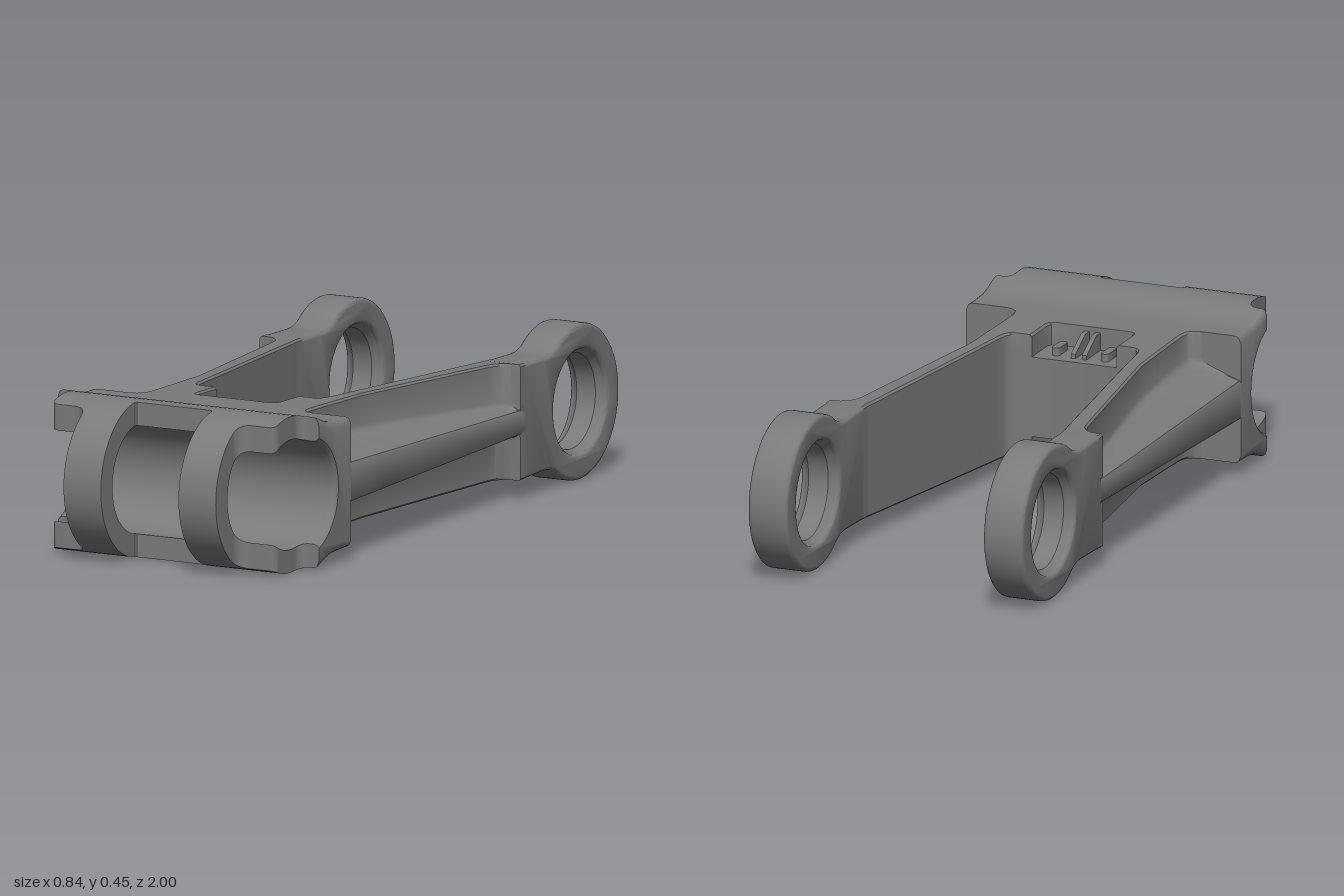
import * as THREE from 'three';
import { toCreasedNormals } from 'three/addons/utils/BufferGeometryUtils.js';

const MID = 0.223, R = 0.223, BORE = 0.157, PIVOT = 0.775, W = 0.42;
const material = new THREE.MeshStandardMaterial({ color: 0x7a7a7a });
const lerp = THREE.MathUtils.lerp;
const rad = THREE.MathUtils.degToRad;
// half height of the body, tapering slightly to the rear
const half = z => lerp(0.187, 0.166, (0.6 - z) / 1.04);

function addMesh(parent, name, geometry) {
  const mesh = new THREE.Mesh(geometry, material);
  mesh.name = name;
  parent.add(mesh);
  return mesh;
}

// skin closed loops of [x, y, z] points; optional extra triangles close the ends
function loft(loops, caps = []) {
  const n = loops[0].length, index = [];
  for (let i = 0; i < loops.length - 1; i++) {
    for (let j = 0; j < n; j++) {
      const k = (j + 1) % n, a = i * n, b = a + n;
      index.push(a + j, a + k, b + k, a + j, b + k, b + j);
    }
  }
  const geo = new THREE.BufferGeometry();
  geo.setAttribute('position', new THREE.Float32BufferAttribute(loops.flat(2), 3));
  geo.setIndex(index.concat(caps));
  return toCreasedNormals(geo, 0.6);
}

// C-shaped side section of the front sleeve, cut off at z = cut; edges round off at the ends
function sleeveLoop(x, cut) {
  const d = Math.max(0, Math.abs(x) - W + 0.02);
  const inset = 0.02 - Math.sqrt(Math.max(0, 0.0004 - d * d));
  const ro = R - inset, ri = BORE + inset / 2;
  const limit = r => Math.acos(THREE.MathUtils.clamp((cut - PIVOT) / r, -1, 1));
  const a = limit(ro), b = limit(ri), upper = [[0.535, half(0.535) - inset]];
  const arc = (r, t) => [PIVOT + r * Math.cos(t), r * Math.sin(t)];
  const join = arc(ro, rad(115));
  const fillet = new THREE.QuadraticBezierCurve(
    new THREE.Vector2(0.59, half(0.59) - inset),
    new THREE.Vector2(0.649, half(0.649) - inset), new THREE.Vector2(...join));
  fillet.getPoints(5).slice(0, -1).forEach(p => upper.push([p.x, p.y]));
  for (let t = 115; t >= 0; t -= 5) upper.push(arc(ro, Math.max(a, rad(t))));
  for (let t = 0; t <= 180; t += 5) upper.push(arc(ri, Math.max(b, rad(t))));
  const lower = upper.slice(0, -1).reverse().map(([z, y]) => [z, -y]);
  return upper.concat(lower).map(([z, y]) => [x, MID + y, z]);
}

function frontSleeve() {
  // stepped, round-cornered front edge in plan: (x, z); beyond z = 1 the ring stays whole
  const p = new THREE.Path();
  p.moveTo(0, 0.8).lineTo(0.115, 0.8);
  p.quadraticCurveTo(0.125, 0.8, 0.125, 0.81).lineTo(0.125, 1.02);
  p.lineTo(0.245, 1.02).lineTo(0.245, 0.9);
  p.quadraticCurveTo(0.247, 0.863, 0.285, 0.863).lineTo(0.34, 0.863);
  p.quadraticCurveTo(0.36, 0.863, 0.36, 0.843).lineTo(0.36, 0.75);
  p.quadraticCurveTo(0.362, 0.722, 0.39, 0.72).lineTo(W, 0.72);
  const pts = p.getSpacedPoints(150).map(v => [v.x, v.y]);
  const path = pts.slice(1).reverse().map(([x, z]) => [-x, z]).concat(pts);
  const loops = path.map(([x, cut]) => sleeveLoop(x, cut));
  // flat end caps
  const outline = loops[0].map(([, y, z]) => new THREE.Vector2(z, y));
  const last = (loops.length - 1) * outline.length, caps = [];
  for (const [a, b, c] of THREE.ShapeUtils.triangulateShape(outline, [])) {
    caps.push(a, b, c, last + a, last + c, last + b);
  }
  return loft(loops, caps);
}

// one half of the bridge with its arm: [z, inner x, web outer x, recess half width]
const ARM = [
  [0.535, 0, 0.3, 0], [0.528, 0, 0.28, 0], [0.515, 0, 0.266, 0],
  [0.49, 0, 0.26, 0], [0.46, 0, 0.26, 0], [0.46, 0, 0.26, 0.11], [0.454, 0, 0.26, 0.124],
  [0.44, 0, 0.26, 0.13], [0.33, 0, 0.262, 0.13], [0.33, 0.175, 0.262, 0],
  [0.325, 0.19, 0.262, 0], [0.312, 0.2, 0.263, 0], [0.29, 0.206, 0.263, 0],
  [0.2, 0.217, 0.265, 0], [0.15, 0.223, 0.272, 0], [-0.37, 0.291, 0.348, 0],
  [-0.4, 0.295, 0.356, 0], [-0.42, 0.298, 0.372, 0], [-0.43, 0.3, 0.39, 0],
  [-0.432, 0.3, W, 0], [-0.46, 0.3, W, 0],
];
const RECESS = 0.065;

function armLoop([z, xi, xw, recess], side) {
  const t = (0.535 - z) / 0.967, top = half(z), xr = Math.max(xi, recess);
  const edge = lerp(0.056, 0.034, t), root = lerp(0.092, 0.042, t);
  const f = lerp(0.02, 0.012, t), e = Math.min(0.006, xr);
  const upper = [
    [xi, top - RECESS], [xr, top - RECESS], [xr, top - e], [xr + e, top],
    [xw - 0.006, top], [xw, top - 0.006],
    [xw, root + f], [Math.min(xw + f * 0.4, W), root + f * 0.3], [Math.min(xw + f, W), root],
    [W - 0.004, edge], [W, edge - 0.006],
  ];
  const all = upper.concat(upper.slice().reverse().map(([x, y]) => [x, -y]));
  const loop = all.map(([x, y]) => [x * side, MID + y, z]);
  return side > 0 ? loop : loop.reverse();
}

// rear eye with a neck that flares into the ring, bevelled all round
function rearEye() {
  const s = new THREE.Shape(), a = rad(58), h = half(-0.43);
  const jx = -PIVOT + R * Math.cos(a), jy = R * Math.sin(a);
  s.moveTo(-0.434, MID - h);
  s.lineTo(-0.434, MID + h);
  s.lineTo(-0.57, MID + h - 0.003);
  s.quadraticCurveTo(-0.625, MID + h - 0.004, jx, MID + jy);
  s.absarc(-PIVOT, MID, R, a, Math.PI * 2 - a, false);
  s.quadraticCurveTo(-0.625, MID - h + 0.004, -0.57, MID - h + 0.003);
  s.closePath();
  s.holes.push(new THREE.Path().absarc(-PIVOT, MID, 0.15, 0, Math.PI * 2, true));
  const bevel = 0.012;
  const geo = new THREE.ExtrudeGeometry(s, {
    depth: 0.12 - 2 * bevel, curveSegments: 40, bevelEnabled: true,
    bevelThickness: bevel, bevelSize: bevel, bevelOffset: -bevel, bevelSegments: 3,
  });
  geo.translate(0, 0, -0.06 + bevel).rotateY(-Math.PI / 2);
  return toCreasedNormals(geo, 0.6);
}

// countersunk lining of the rear eye
function eyeLining() {
  const profile = [[0.152, 0.05], [0.137, 0.03], [0.137, -0.03], [0.152, -0.05]];
  const geo = new THREE.LatheGeometry(profile.map(p => new THREE.Vector2(...p)), 72);
  return toCreasedNormals(geo.rotateZ(Math.PI / 2), 0.4);
}

// round-ended rib, standing on y = 0
function sideRib() {
  const s = new THREE.Shape();
  s.absarc(0, 0.024, 0.012, 0, Math.PI, false);
  s.absarc(0, -0.024, 0.012, Math.PI, Math.PI * 2, false);
  const geo = new THREE.ExtrudeGeometry(s, { depth: 0.025, bevelEnabled: false, curveSegments: 8 });
  return toCreasedNormals(geo.rotateX(-Math.PI / 2), 0.6);
}

// fin sloping down to the rear, standing on y = 0
function centreFin() {
  const s = new THREE.Shape();
  s.moveTo(-0.05, 0).lineTo(0.05, 0).lineTo(0.05, 0.055).lineTo(0.02, 0.055).lineTo(-0.05, 0.015);
  const geo = new THREE.ExtrudeGeometry(s, { depth: 0.014, bevelEnabled: false });
  return geo.translate(0, 0, -0.007).rotateY(-Math.PI / 2);
}

export function createModel() {
  const group = new THREE.Group();
  group.name = 'linkArm';
  addMesh(group, 'frontSleeve', frontSleeve());

  const eye = rearEye(), lining = eyeLining();
  for (const side of [1, -1]) {
    const label = side > 0 ? 'left' : 'right';
    addMesh(group, label + 'Arm', loft(ARM.map(s => armLoop(s, side))));
    addMesh(group, label + 'RearEye', eye).position.x = side * 0.36;
    addMesh(group, label + 'EyeLining', lining).position.set(side * 0.36, MID, -PIVOT);
  }

  // small ribs standing in the upper and lower recesses of the bridge
  const rib = sideRib(), fin = centreFin();
  for (const face of [1, -1]) {
    const ribs = new THREE.Group();
    ribs.name = face > 0 ? 'upperRecessRibs' : 'lowerRecessRibs';
    const y = half(0.4) - RECESS - 0.003;
    for (const side of [1, -1]) {
      addMesh(ribs, 'sideRib', rib).position.set(side * 0.075, y, 0.4);
      addMesh(ribs, 'centreFin', fin).position.set(side * 0.017, y, 0.411);
    }
    ribs.position.set(0, MID, face > 0 ? 0 : 0.8);
    if (face < 0) {
      // turned over, with the fins still sloping to the rear
      ribs.rotation.z = Math.PI;
      ribs.position.z = 0;
    }
    group.add(ribs);
  }
  return group;
}
